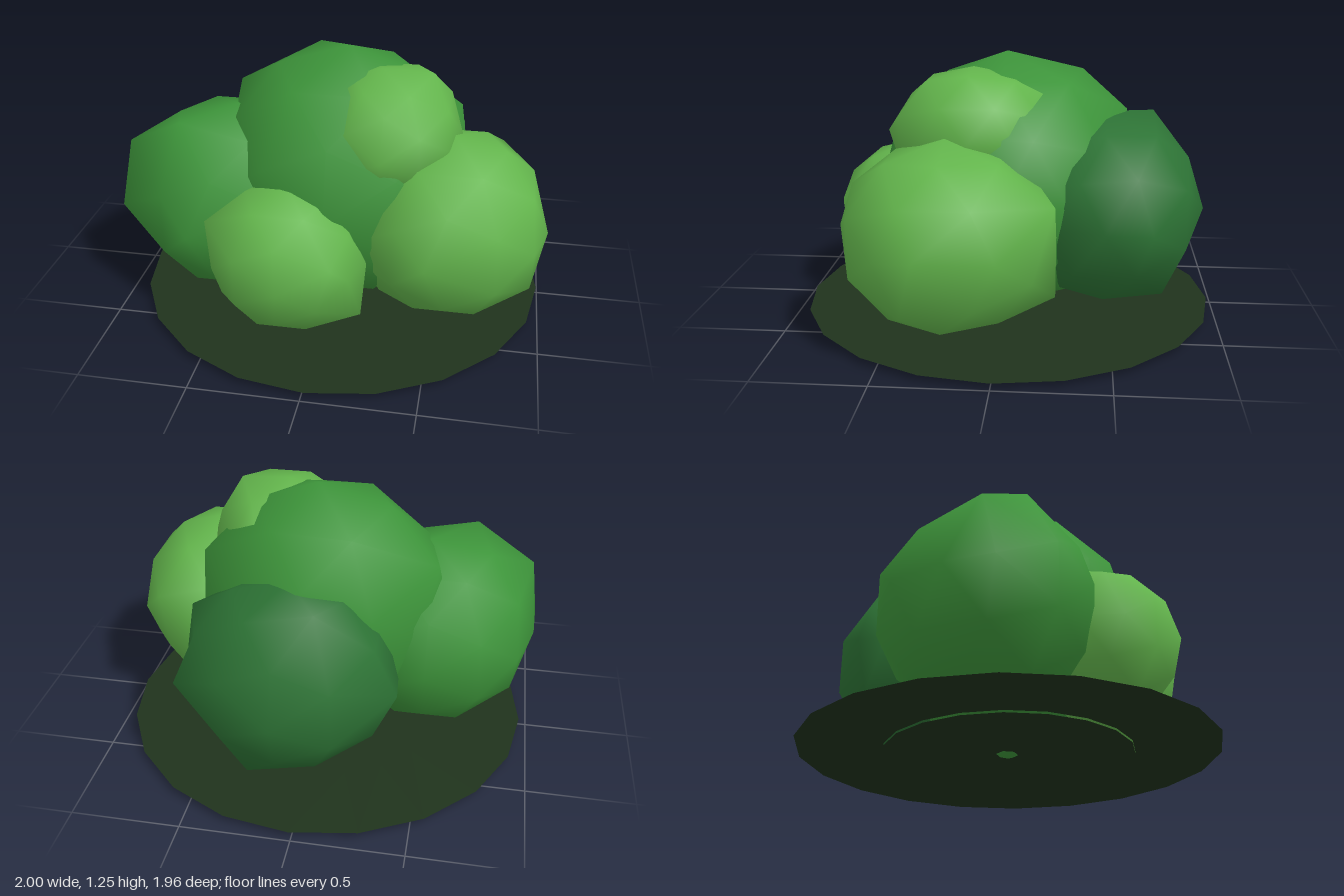
import * as THREE from 'three';
import { mergeVertices } from 'three/addons/utils/BufferGeometryUtils.js';

const _ = null; // free coordinate of a corner
const MID = 0x3d943a, DARK = 0x2d7335, LIGHT = 0x63b54c, SOIL = 0x1f331c;

// Coarse ball, stretched to size, with its nearest vertices pulled to a few corners
function clumpGeometry(at, size, corners) {
  const ball = new THREE.IcosahedronGeometry(1, 1);
  ball.deleteAttribute('uv');
  ball.deleteAttribute('normal');
  const geo = mergeVertices(ball);
  geo.scale(...size).translate(...at);
  const p = geo.attributes.position;
  const used = new Set();
  for (const corner of corners) {
    // Nearest free vertex, judged only by the coordinates that are given
    let best = -1, bestD = Infinity;
    for (let i = 0; i < p.count; i++) {
      if (used.has(i)) continue;
      let d = 0;
      corner.forEach((c, k) => { if (c !== _) d += (p.getComponent(i, k) - c) ** 2; });
      if (d < bestD) { bestD = d; best = i; }
    }
    used.add(best);
    corner.forEach((c, k) => { if (c !== _) p.setComponent(best, k, c); });
  }
  geo.computeVertexNormals();
  return geo;
}

export function createModel() {
  const bush = new THREE.Group();
  bush.name = 'bush';
  const add = (name, geo, color, side = THREE.FrontSide) => {
    const mesh = new THREE.Mesh(geo, new THREE.MeshStandardMaterial({ color, side }));
    mesh.name = name;
    bush.add(mesh);
  };
  const clump = (name, color, at, size, corners) =>
    add(name, clumpGeometry(at, size, corners), color);

  // Leaf clumps
  clump('centreClump', MID, [0.03, 0.63, 0.01], [0.6, 0.61, 0.6],
    [[0.05, 1.25, 0], [-0.02, 0, 0], [-0.53, 0.97, -0.2], [_, 1.14, -0.35],
      [0.03, 0.98, -0.56], [0.57, 0.93, -0.15]]);
  clump('rightClump', MID, [-0.5, 0.5, 0.09], [0.49, 0.47, 0.5],
    [[-1, 0.49, 0.32], [-0.96, 0.8, _], [-0.79, 0.07, _], [-0.47, 0.96, _],
      [-0.68, 0.95, _], [-0.6, 0.5, 0.6]]);
  clump('leftClump', LIGHT, [0.56, 0.51, 0.23], [0.45, 0.43, 0.48],
    [[1, 0.53, 0.31], [0.94, 0.27, _], [0.48, 0.52, 0.72], [0.78, 0.71, -0.25],
      [0.6, 0.25, -0.25], [0.24, 0.13, 0.3], [0.23, 0.7, 0.42]]);
  clump('backClump', DARK, [0.1, 0.53, -0.46], [0.49, 0.45, 0.46],
    [[0.1, 0.52, -0.93], [_, 0.96, -0.69], [_, 0.14, -0.74], [0.59, _, -0.67],
      [-0.4, 0.53, -0.6], [0.58, _, -0.35]]);
  clump('frontClump', LIGHT, [-0.15, 0.42, 0.5], [0.36, 0.35, 0.36],
    [[-0.13, 0.42, 0.86], [-0.5, 0.61, _], [0.06, 0.07, _], [0.2, 0.2, _], [0.1, _, 0.8]]);
  clump('topClump', LIGHT, [0.26, 0.91, 0.14], [0.33, 0.3, 0.39],
    [[0.22, 1.2, _], [0.45, 1.19, _], [_, 1.08, 0.42], [-0.02, 1.13, 0.17],
      [0.3, 1.07, -0.23]]);

  // Flat ground patch: an outer ring around a slightly lower inner disc
  const flat = (geo, y) => geo.rotateX(-Math.PI / 2).translate(0.015, y, 0);
  add('groundRing', flat(new THREE.RingGeometry(0.585, 0.98, 20), 0.03), SOIL, THREE.DoubleSide);
  add('groundDisc', flat(new THREE.CircleGeometry(0.585, 20), 0.02), SOIL, THREE.DoubleSide);

  return bush;
}
